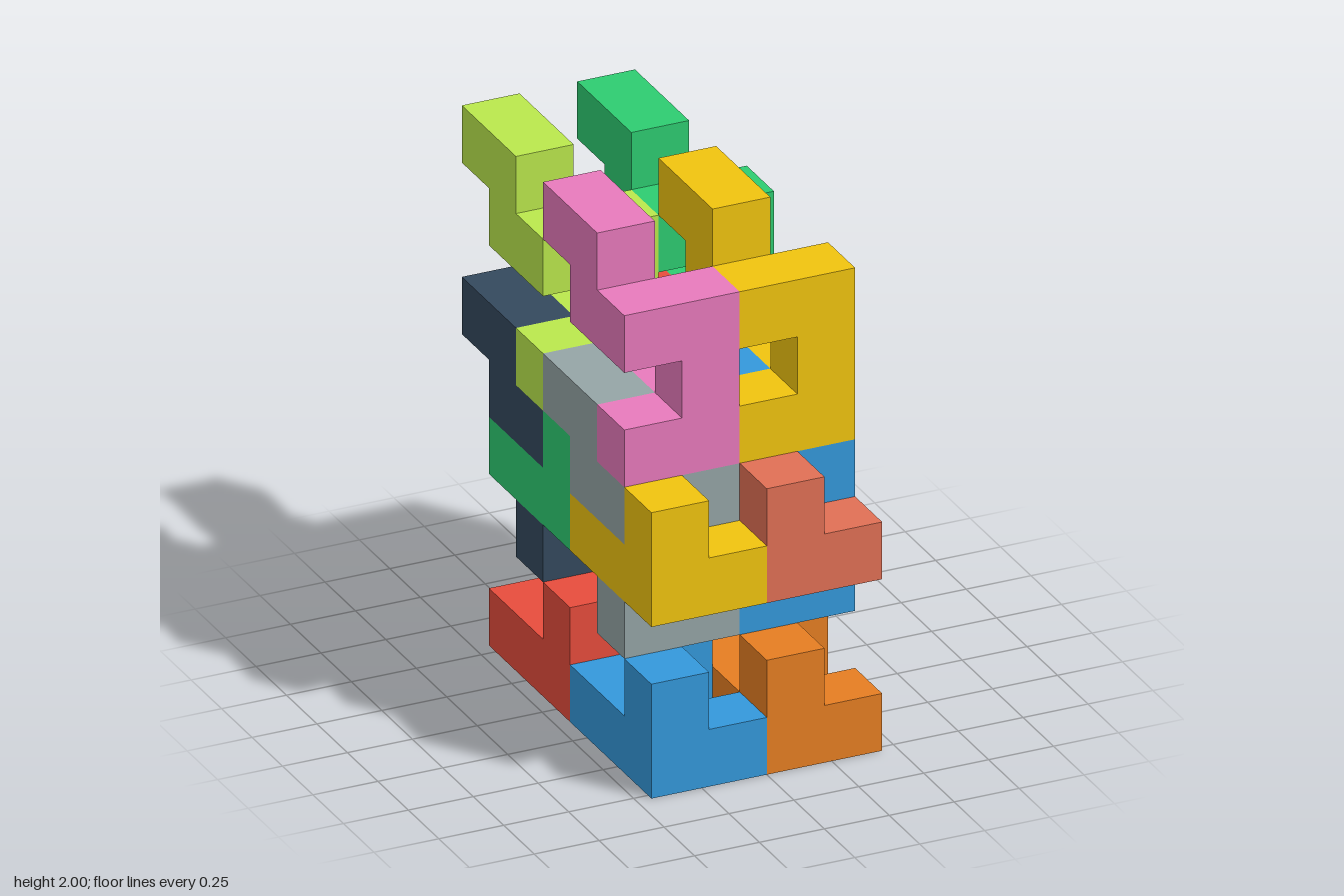
import * as THREE from 'three';
import { mergeGeometries } from 'three/addons/utils/BufferGeometryUtils.js';

const U = 2 / 9; // cube edge: the stack is 4 x 9 x 7 cubes

// Nine-cube piece standing up: a C in the xy plane, a stub behind its lower corner, a hook behind its upper tip
const UPRIGHT = [
  [0, 0, 0], [1, 0, 0], [1, 1, 0], [1, 2, 0], [0, 2, 0],
  [1, 0, -1],
  [0, 2, -1], [0, 3, -1], [0, 3, -2],
];
// The same piece lying down: the C in the xz plane, stub and hook pointing up
const LYING = [
  [0, 0, 0], [1, 0, 0], [0, 0, -1], [0, 0, -2], [1, 0, -2],
  [0, 1, 0],
  [1, 1, -2], [1, 1, -3], [1, 2, -3],
];

// The six side directions, with the turn that points a plane's front that way
const SIDES = [
  [0, 0, 1, 0, 0], [0, 0, -1, 0, Math.PI],
  [1, 0, 0, 0, Math.PI / 2], [-1, 0, 0, 0, -Math.PI / 2],
  [0, 1, 0, -Math.PI / 2, 0], [0, -1, 0, Math.PI / 2, 0],
];

// Outer skin of a set of cubes, leaving out the faces between them
function skin(cells) {
  const filled = new Set(cells.map((c) => c.join()));
  const faces = [];
  for (const [x, y, z] of cells) {
    for (const [dx, dy, dz, rx, ry] of SIDES) {
      if (filled.has([x + dx, y + dy, z + dz].join())) continue;
      faces.push(new THREE.PlaneGeometry(U, U).rotateX(rx).rotateY(ry)
        .translate((x + dx / 2) * U, (y + dy / 2) * U, (z + dz / 2) * U));
    }
  }
  return mergeGeometries(faces);
}

const YELLOW = 0xf1c40f, GREEN = 0x2ecc71, BLUE = 0x3498db, RED = 0xe74c3c;

// Layers from the ground up; colours: front left, front right, back left, back right
const LAYERS = [
  { name: 'lowerLyingPiece', lying: true, y: 0, z: 6, colors: [0xe67e22, BLUE, 0x9b59b6, RED] },
  { name: 'lowerUprightPiece', lying: false, y: 2, z: 5, colors: [BLUE, 0x95a5a6, RED, 0x34495e] },
  { name: 'upperLyingPiece', lying: true, y: 3, z: 6, colors: [0xe17055, YELLOW, 0x1abc9c, GREEN] },
  { name: 'upperUprightPiece', lying: false, y: 5, z: 5, colors: [YELLOW, 0xe87abc, GREEN, 0xbae84c] },
];
const SPOTS = [['FrontLeft', 2, 0], ['FrontRight', 0, 0], ['BackLeft', 2, -3], ['BackRight', 0, -3]];

export function createModel() {
  const model = new THREE.Group();
  model.name = 'interlockingBlockStack';
  const upright = skin(UPRIGHT);
  const lying = skin(LYING);

  // Every layer repeats its piece two cubes sideways and three cubes back
  for (const layer of LAYERS) {
    SPOTS.forEach(([spot, x, dz], i) => {
      const piece = new THREE.Mesh(
        layer.lying ? lying : upright,
        new THREE.MeshStandardMaterial({ color: layer.colors[i] }),
      );
      piece.name = layer.name + spot;
      piece.position.set((x - 1.5) * U, (layer.y + 0.5) * U, (layer.z + dz - 3) * U);
      model.add(piece);
    });
  }
  return model;
}
